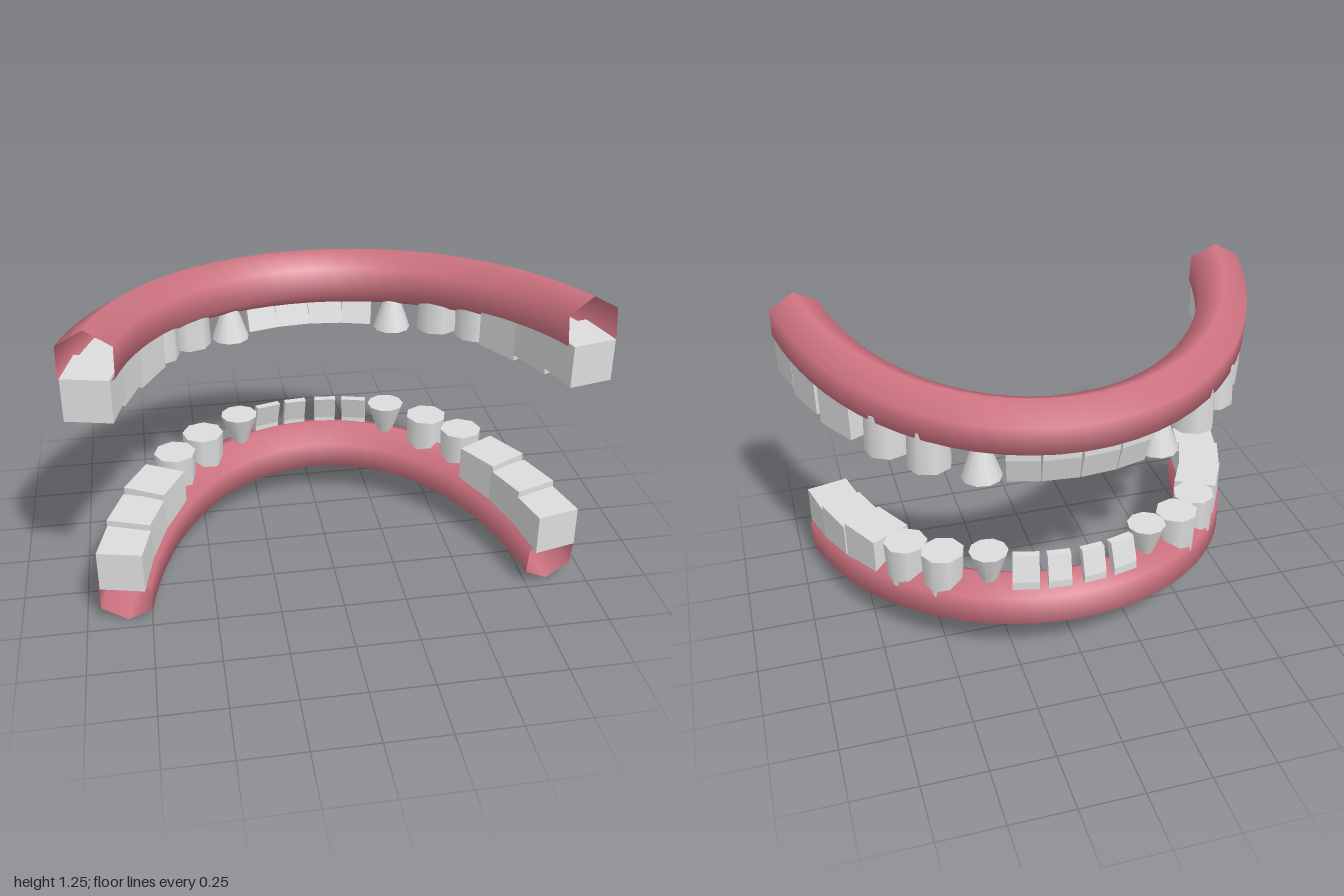
import * as THREE from 'three';

const gumMaterial = new THREE.MeshStandardMaterial({ color: 0xd07482, side: THREE.DoubleSide });
gumMaterial.name = 'gum pink';
const toothMaterial = new THREE.MeshStandardMaterial({ color: 0xdcdcdc });
toothMaterial.name = 'tooth white';

const GAP = 1.265; // the lower jaw mirrors the upper one about y = GAP / 2

// Teeth of one side, from the back of the mouth to the middle:
// t = place on the arch, tip = biting height in the upper jaw
const TEETH = [
  { name: 'Molar', t: 0.02, tip: 0.925 },
  { name: 'Molar', t: 0.073, tip: 0.9 },
  { name: 'Molar', t: 0.136, tip: 0.876 },
  { name: 'Premolar', t: 0.206, tip: 0.856, out: 0.022 },
  { name: 'Premolar', t: 0.273, tip: 0.842, out: 0.018 },
  { name: 'Canine', t: 0.35, tip: 0.815 },
  { name: 'Incisor', t: 0.414, tip: 0.814, widths: [0.125, 0.105] },
  { name: 'Incisor', t: 0.47, tip: 0.814, widths: [0.142, 0.092] },
];

// Horseshoe arch; the lower one is slightly smaller and slopes the other way
function archCurve(lower) {
  const k = lower ? 0.94 : 1;
  const p = (x, y, z) => new THREE.Vector3(x * k, lower ? GAP - y : y, z * k);
  return new THREE.CubicBezierCurve3(
    p(-0.9, 1.145, 0.494), p(-0.665, 0.993, -0.726),
    p(0.665, 0.993, -0.726), p(0.9, 1.145, 0.494));
}

// Thin tooth with a bent blade: s is +1 when the root points up; outward is -z
function incisorGeometry(width, s) {
  const shape = new THREE.Shape([
    [-0.005, 0], [0.026, 0], [0.056, 0.105], [0.056, 0.16], [0.026, 0.16], [0.026, 0.105],
  ].map(([o, y]) => new THREE.Vector2(o, y * s)));
  const g = new THREE.ExtrudeGeometry(shape, { depth: width, bevelEnabled: false });
  return g.rotateY(Math.PI / 2).translate(-width / 2, 0, 0);
}

// Geometries have their biting edge at y = 0
function toothGeometry(tooth, lower) {
  const s = lower ? -1 : 1;
  const peg = (tip, root, height, sides) =>
    new THREE.CylinderGeometry(lower ? tip : root, lower ? root : tip, height, sides)
      .translate(0, s * height / 2, 0);
  switch (tooth.name) {
    case 'Molar': return new THREE.BoxGeometry(0.19, 0.165, 0.175).translate(0, s * 0.0825, 0);
    case 'Premolar': return peg(0.087, 0.08, 0.172, 8);
    case 'Canine': return peg(0.078, 0.022, 0.165, 10);
    default: return incisorGeometry(tooth.widths[lower ? 1 : 0], s);
  }
}

function createJaw(lower) {
  const prefix = lower ? 'lower' : 'upper';
  const jaw = new THREE.Group();
  jaw.name = prefix + 'Jaw';
  const curve = archCurve(lower);

  // Hollow six-sided gum, open at both ends
  const gum = new THREE.Mesh(new THREE.TubeGeometry(curve, 32, 0.115, 6, false), gumMaterial);
  gum.name = prefix + 'Gum';
  jaw.add(gum);

  // Teeth on both sides, turned to follow the arch
  for (const tooth of TEETH) {
    const geometry = toothGeometry(tooth, lower);
    for (const side of ['right', 'left']) {
      const t = side === 'right' ? tooth.t : 1 - tooth.t;
      const point = curve.getPoint(t);
      const tangent = curve.getTangent(t).setY(0).normalize();
      const outX = tangent.z, outZ = -tangent.x;
      const out = tooth.out || 0;
      const mesh = new THREE.Mesh(geometry, toothMaterial);
      mesh.name = prefix + (side === 'right' ? 'Right' : 'Left') + tooth.name;
      mesh.position.set(point.x + outX * out, lower ? GAP + 0.002 - tooth.tip : tooth.tip, point.z + outZ * out);
      mesh.rotation.y = Math.atan2(-outX, -outZ);
      jaw.add(mesh);
    }
  }
  return jaw;
}

export function createModel() {
  const model = new THREE.Group();
  model.name = 'teeth';
  model.add(createJaw(false), createJaw(true));
  return model;
}
